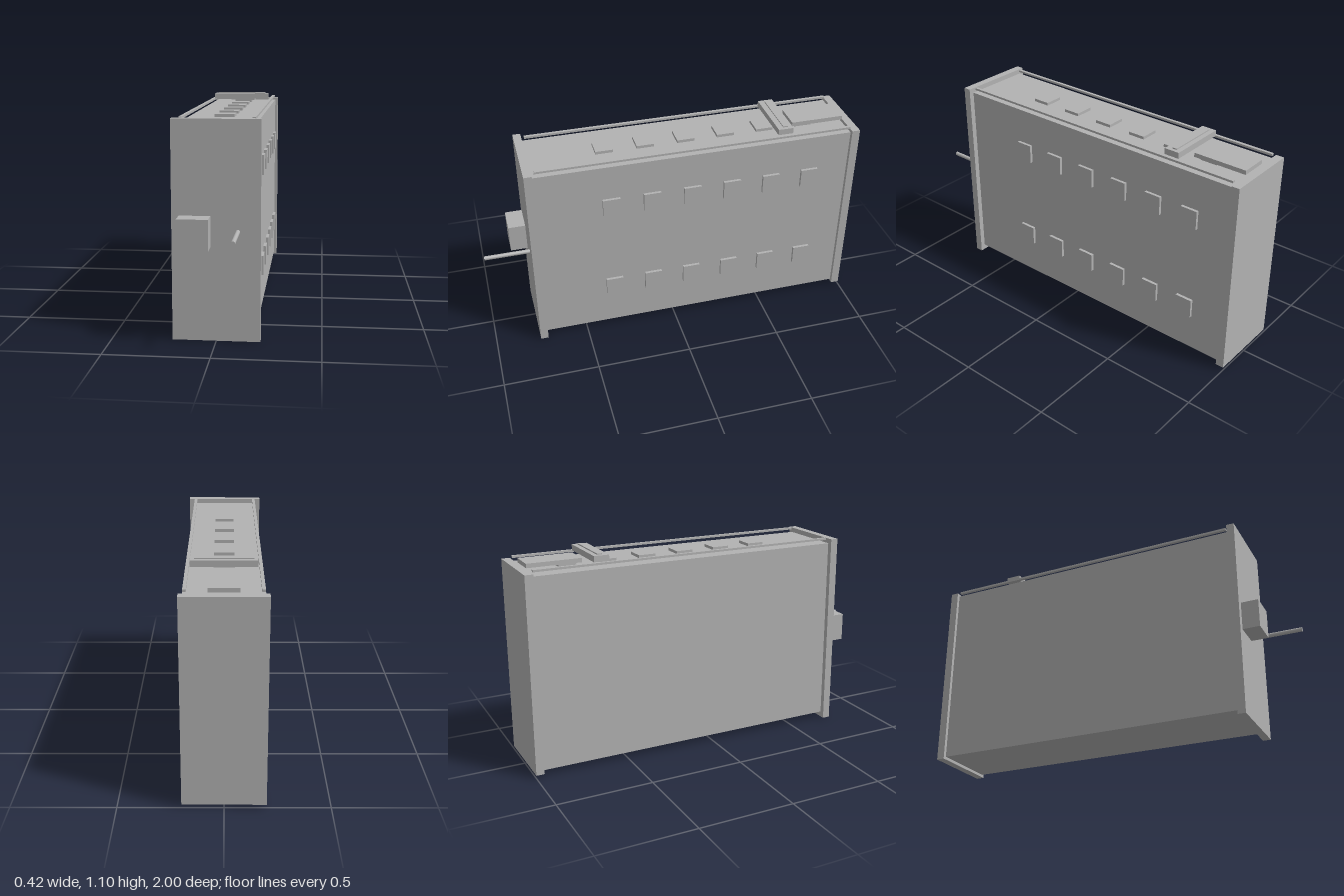
import * as THREE from 'three';

export function createModel() {
  const model = new THREE.Group();
  const grey = new THREE.MeshStandardMaterial({ color: 0xb2b2b2 });
  grey.name = 'plain grey';

  // Box given by its extents along each axis
  function box(name, [x0, x1], [y0, y1], [z0, z1]) {
    const mesh = new THREE.Mesh(new THREE.BoxGeometry(x1 - x0, y1 - y0, z1 - z0), grey);
    mesh.position.set((x0 + x1) / 2, (y0 + y1) / 2, (z0 + z1) / 2);
    mesh.name = name;
    model.add(mesh);
  }

  // Main case with its end plates
  box('body', [-0.183, 0.183], [0.03, 1.03], [-0.955, 0.723]);
  box('frontPlate', [-0.21, 0.21], [0, 1.056], [0.722, 0.763]);
  box('rearPlate', [-0.199, 0.199], [0.016, 1.044], [-1, -0.957]);

  // Rails along both upper edges
  box('leftRail', [0.164, 0.18], [1.049, 1.06], [-0.953, 0.708]);
  box('rightRail', [-0.18, -0.164], [1.049, 1.06], [-0.953, 0.708]);

  // Rows of pads on the roof and the left side
  for (let i = 0; i < 6; i++) {
    const z = 0.334 - i * 0.2145;
    const span = [z - 0.046, z + 0.046];
    box('roofPad', [-0.05, 0.05], [1.03, 1.045], span);
    box('upperSidePad', [0.183, 0.198], [0.742, 0.842], span);
    box('lowerSidePad', [0.183, 0.198], [0.224, 0.325], span);
  }

  // Cross bar with a narrow strip, and the hatch behind it
  box('crossBar', [-0.159, 0.159], [1.06, 1.091], [-0.64, -0.56]);
  box('crossBarStrip', [-0.14, 0.14], [1.091, 1.097], [-0.615, -0.59]);
  box('hatch', [-0.071, 0.071], [1.046, 1.068], [-0.953, -0.67]);

  // Front block and rod
  box('frontBlock', [-0.174, -0.026], [0.455, 0.604], [0.763, 0.853]);
  const rod = new THREE.Mesh(new THREE.CylinderGeometry(0.011, 0.011, 0.24, 16), grey);
  rod.rotation.x = Math.PI / 2;
  rod.position.set(0.102, 0.53, 0.88);
  rod.name = 'frontRod';
  model.add(rod);

  return model;
}
